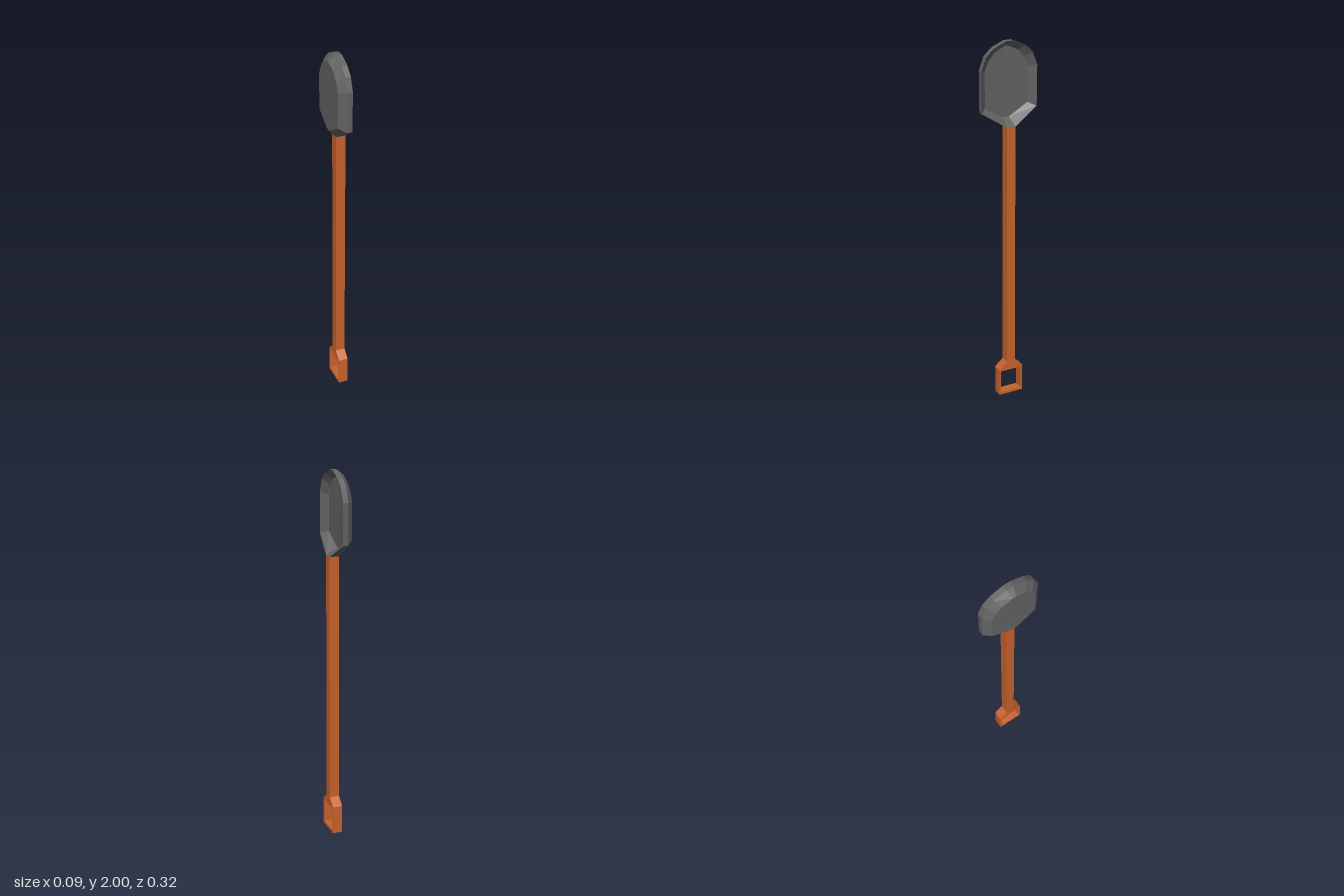
import * as THREE from 'three';

const steel = new THREE.MeshStandardMaterial({ color: 0x626262, flatShading: true });
const wood = new THREE.MeshStandardMaterial({ color: 0xc8622c, flatShading: true });

// Handle section in x, shared by shaft and grip
const X0 = -0.01, X1 = 0.043;

// Mirrors a half outline of [z, y, x] points into a closed ring
const mirrorRing = half => [...half, ...half.slice().reverse().map(([z, y, x]) => [-z, y, x])]
  .map(([z, y, x]) => new THREE.Vector3(x, y, z));

// Joins rings from the hollow face round the rim to the rounded back, closing both ends
function loft(rings) {
  const pos = [];
  const tri = (...pts) => pts.forEach(p => pos.push(p.x, p.y, p.z));
  const n = rings[0].length;
  const centre = r => r.reduce((s, p) => s.add(p), new THREE.Vector3()).divideScalar(n);
  const first = rings[0], last = rings[rings.length - 1];
  const c0 = centre(first), c1 = centre(last);
  for (let i = 0; i < n; i++) {
    const j = (i + 1) % n;
    tri(c0, first[i], first[j]);
    tri(c1, last[j], last[i]);
    for (let k = 0; k + 1 < rings.length; k++) {
      const a = rings[k], b = rings[k + 1];
      tri(a[i], b[i], b[j]);
      tri(a[i], b[j], a[j]);
    }
  }
  const g = new THREE.BufferGeometry();
  g.setAttribute('position', new THREE.Float32BufferAttribute(pos, 3));
  g.computeVertexNormals();
  return g;
}

function makeBlade() {
  const outer = [[0.02, 2], [0.09, 1.97], [0.132, 1.93], [0.158, 1.86], [0.157, 1.642], [0.024, 1.556]];
  const inner = [[0.008, 1.968], [0.065, 1.94], [0.1, 1.9], [0.122, 1.85], [0.122, 1.658], [0.016, 1.595]];
  // The rim sweeps forward at the bottom to meet the shaft
  const rim = (x, xEnd) => mirrorRing(outer.map(([z, y], i) => [z, y, i === 5 ? xEnd : x]));
  const floor = x => mirrorRing(inner.map(([z, y], i) => [z, y, i === 0 || i === 5 ? x - 0.003 : x]));
  return loft([floor(-0.012), rim(0.024, X1), rim(-0.005, X0), floor(-0.04)]);
}

// Sloped shoulders above a rectangular hand opening
function makeGrip() {
  const path = pts => pts.map(([x, y]) => new THREE.Vector2(x, y));
  const shape = new THREE.Shape(path([[-0.071, 0], [0.071, 0], [0.071, 0.157], [0.024, 0.198], [-0.024, 0.198], [-0.071, 0.157]]));
  shape.holes.push(new THREE.Path(path([[-0.061, 0.014], [-0.061, 0.147], [0.061, 0.147], [0.061, 0.014]])));
  return new THREE.ExtrudeGeometry(shape, { depth: X1 - X0, bevelEnabled: false })
    .rotateY(Math.PI / 2).translate(X0, 0, 0);
}

export function createModel() {
  const model = new THREE.Group();
  model.name = 'shovel';
  const add = (name, geometry, material) => {
    const mesh = new THREE.Mesh(geometry, material);
    mesh.name = name;
    model.add(mesh);
  };
  add('blade', makeBlade(), steel);
  add('shaft', new THREE.BoxGeometry(X1 - X0, 1.36, 0.048).translate((X0 + X1) / 2, 0.877, 0), wood);
  add('grip', makeGrip(), wood);
  return model;
}
